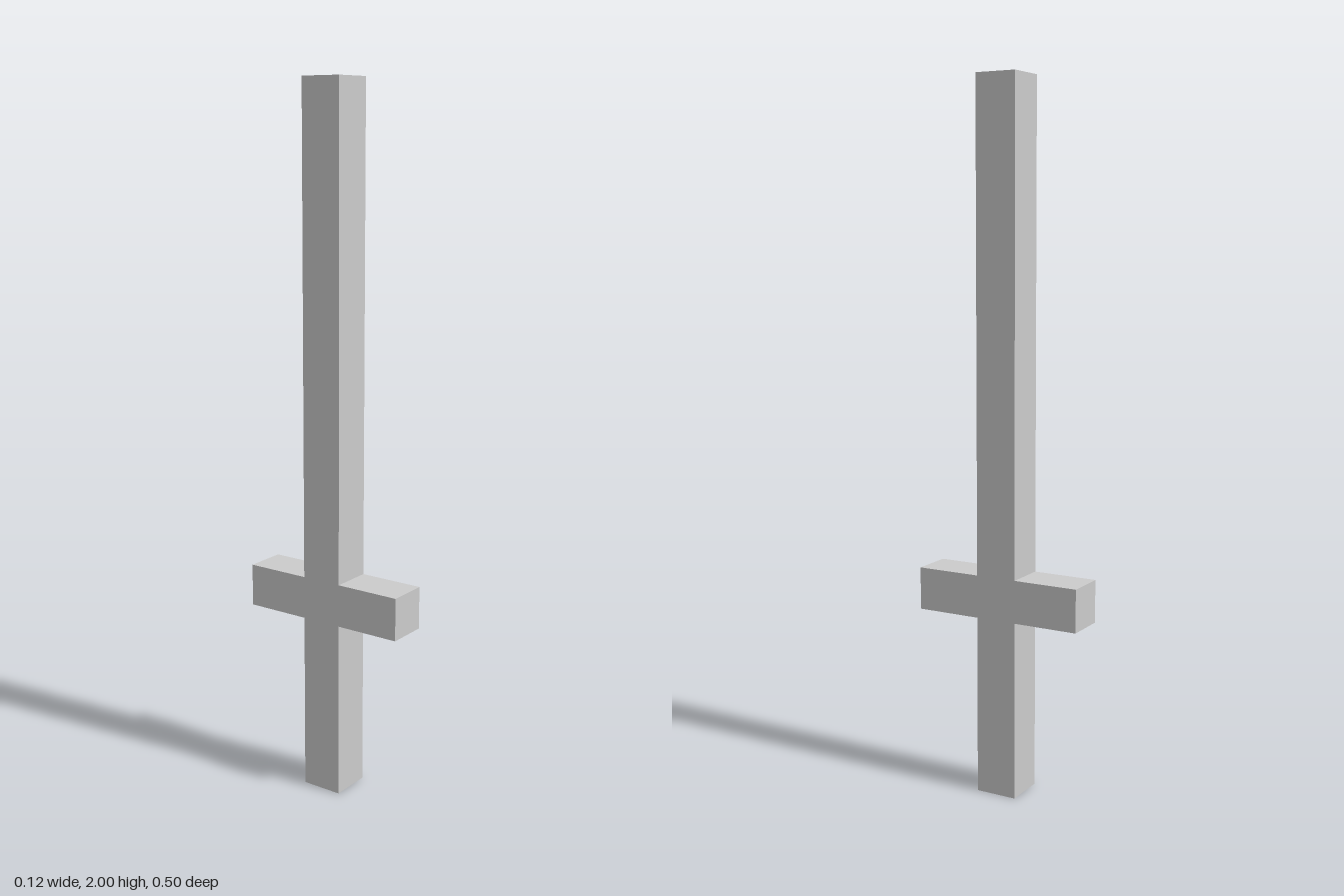
import * as THREE from 'three';

export function createModel() {
  const group = new THREE.Group();
  group.name = 'sword';
  const material = new THREE.MeshStandardMaterial({ color: 0xcccccc, flatShading: true });

  const half = 0.06;       // half thickness of the bar
  const reach = 0.249;     // half length of the crossguard
  const low = 0.511, high = 0.633, top = 2;

  // One side of the cross outline, from the grip's foot to the blade's tip
  const side = [[half, 0], [half, low], [reach, low], [reach, high], [half, high], [half, top]];
  const mirrored = side.map(([x, y]) => [-x, y]).reverse();
  const outline = new THREE.Shape([...side, ...mirrored].map(([x, y]) => new THREE.Vector2(x, y)));

  // Grip, crossguard and blade as one solid, with the guard running along z
  const geometry = new THREE.ExtrudeGeometry(outline, { depth: half * 2, bevelEnabled: false });
  geometry.translate(0, 0, -half);
  geometry.rotateY(Math.PI / 2);

  const body = new THREE.Mesh(geometry, material);
  body.name = 'gripGuardAndBlade';
  group.add(body);
  return group;
}
